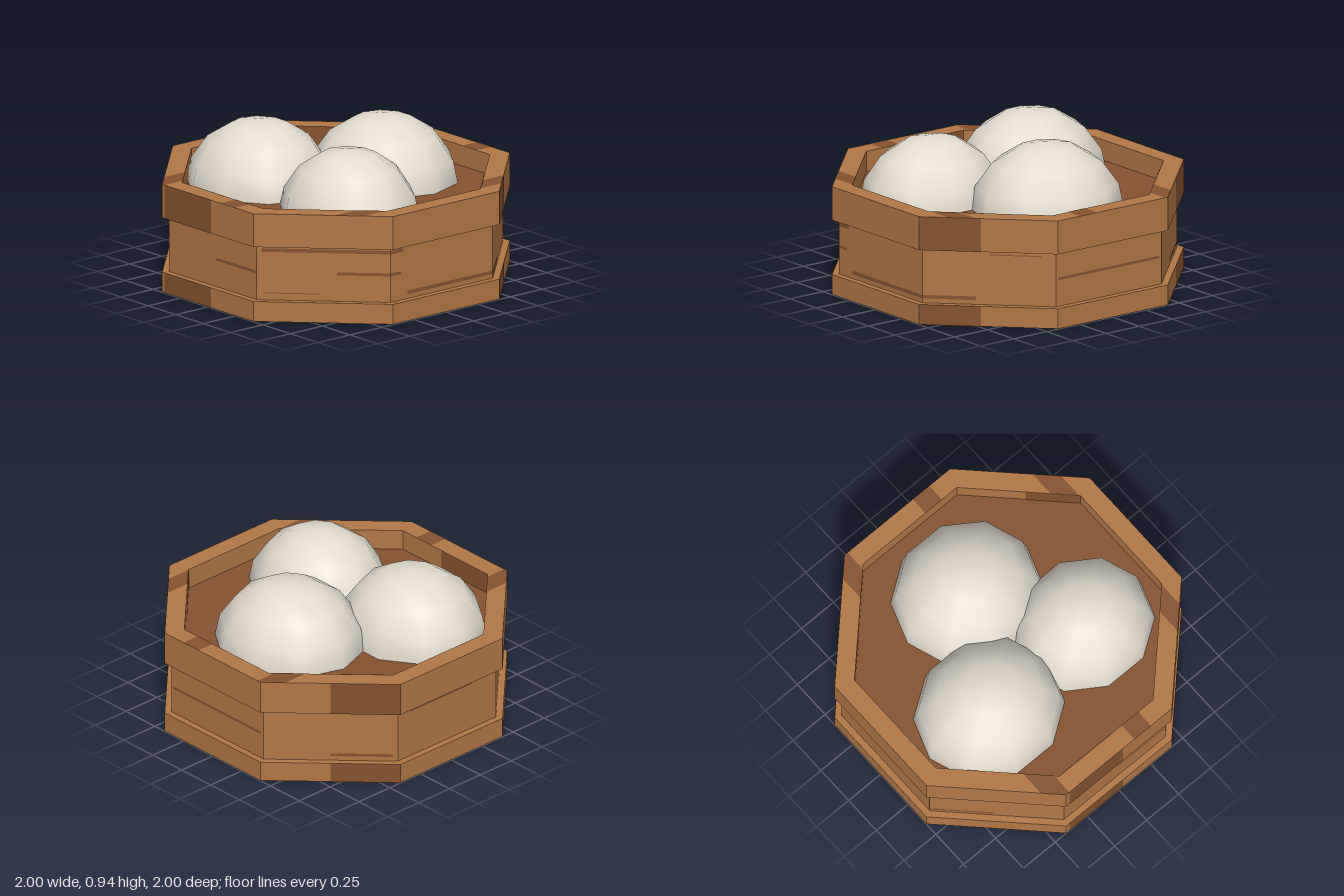
import * as THREE from 'three';

const mat = (name, color, extra = {}) => {
  const m = new THREE.MeshStandardMaterial({ color, ...extra });
  m.name = name;
  return m;
};

const TAN = Math.tan(Math.PI / 8);
const INNER = 0.885, TOP = 0.665, FLOOR = 0.54, MID = 0.96;

// octagon with flat sides on the axes, given the distance to a flat side
function octagon(apothem) {
  const r = apothem / Math.cos(Math.PI / 8), pts = [];
  for (let i = 0; i < 8; i++) {
    const a = (i + 0.5) * Math.PI / 4;
    pts.push(new THREE.Vector2(r * Math.cos(a), r * Math.sin(a)));
  }
  return pts;
}

function slab(apothem, y0, y1, hole) {
  const shape = new THREE.Shape(octagon(apothem));
  if (hole) shape.holes.push(new THREE.Path(octagon(hole).reverse()));
  return new THREE.ExtrudeGeometry(shape, { depth: y1 - y0, bevelEnabled: false })
    .rotateX(-Math.PI / 2).translate(0, y0, 0);
}

// half depth of the octagon at a given x
const halfDepth = (apothem, x) => Math.min(apothem, apothem * Math.SQRT2 - Math.abs(x));

export function createModel() {
  const group = new THREE.Group();
  const wood = mat('wood', 0xb27746);
  const dark = mat('dark wood', 0x85522f, { side: THREE.DoubleSide });
  const dough = mat('dough', 0xe4ddd0);

  const add = (name, geometry, material) => {
    const mesh = new THREE.Mesh(geometry, material);
    mesh.name = name;
    group.add(mesh);
    return mesh;
  };

  // basket
  add('bottomBand', slab(1, 0.002, 0.125), wood);
  add('basketWall', slab(MID, 0.125, 0.46), wood);
  add('rim', slab(1, 0.46, TOP, INNER), wood);
  add('basketFloor', new THREE.ShapeGeometry(new THREE.Shape(octagon(INNER)))
    .rotateX(-Math.PI / 2).translate(0, FLOOR, 0), dark);

  // flat panel on side k, counted from the front towards +x
  const panel = (name, k, u0, u1, y0, y1, distance) => {
    const g = new THREE.PlaneGeometry(u1 - u0, y1 - y0)
      .translate((u0 + u1) / 2, (y0 + y1) / 2, distance)
      .rotateY(k * Math.PI / 4);
    add(name, g, dark);
  };

  // dark blocks on the bands
  for (const [k, u0, u1] of [[0, -0.39, 0.03], [3, -TAN, -0.045], [5, 0, TAN]]) {
    panel('bottomBandPatch', k, u0, u1, 0.002, 0.125, 1.0015);
    panel('rimPatch', k, u0, u1, 0.46, TOP, 1.0015);
    panel('innerRimPatch', k, Math.max(u0, -0.366), Math.min(u1, 0.366), FLOOR, TOP, INNER - 0.002);
  }

  // grain lines: side, start, end, height, thickness
  const grain = [
    [0, 0.03, 0.397, 0.295, 0.018],
    [1, -0.37, 0.397, 0.432, 0.022],
    [1, 0.08, 0.397, 0.295, 0.018],
    [1, -0.36, -0.02, 0.168, 0.006],
    [2, -0.397, -0.3, 0.432, 0.022],
    [2, -0.397, -0.32, 0.295, 0.018],
    [2, -0.27, 0.397, 0.163, 0.022],
    [3, -0.397, -0.08, 0.163, 0.022],
    [3, 0, 0.31, 0.432, 0.006],
    [4, -0.38, 0.38, 0.295, 0.016],
    [5, 0, 0.37, 0.163, 0.018],
    [6, -0.3, 0.2, 0.432, 0.02],
    [7, -0.397, -0.02, 0.163, 0.02],
  ];
  for (const [k, u0, u1, y, t] of grain)
    panel('grainLine', k, u0, u1, y - t / 2, y + t / 2, MID + 0.002);

  // dark bands running front to back across the rim top and the underside
  for (const [x0, x1] of [[-0.52, -0.39], [0.12, 0.25], [0.76, 0.88]]) {
    const xs = [x0, -TAN, x1].filter((x) => x >= x0 && x <= x1);
    const outer = xs.map((x) => new THREE.Vector2(x, halfDepth(1, x)));
    const mirror = (p) => new THREE.Vector2(p.x, -p.y);
    const under = [...outer, ...outer.map(mirror).reverse()];
    add('undersideStripe', new THREE.ShapeGeometry(new THREE.Shape(under))
      .rotateX(Math.PI / 2), dark);
    const inner = [x1, x0].map((x) => new THREE.Vector2(x, halfDepth(INNER, x)));
    const strip = [...outer, ...inner];
    for (const pts of [strip, strip.map(mirror)])
      add('rimTopStripe', new THREE.ShapeGeometry(new THREE.Shape(pts))
        .rotateX(-Math.PI / 2).translate(0, TOP + 0.0015, 0), dark);
  }

  // buns: centre x, centre z, radii and top height
  const buns = [
    [-0.38, 0.265, 0.47, 0.436, 0.94],
    [0.39, 0.23, 0.45, 0.413, 0.917],
    [0, -0.37, 0.472, 0.445, 0.94],
  ];
  for (const [x, z, rx, rz, top] of buns) {
    const bun = add('bun', new THREE.SphereGeometry(1, 10, 8), dough);
    bun.scale.set(rx, 0.43, rz);
    bun.position.set(x, top - 0.43, z);
  }
  return group;
}
